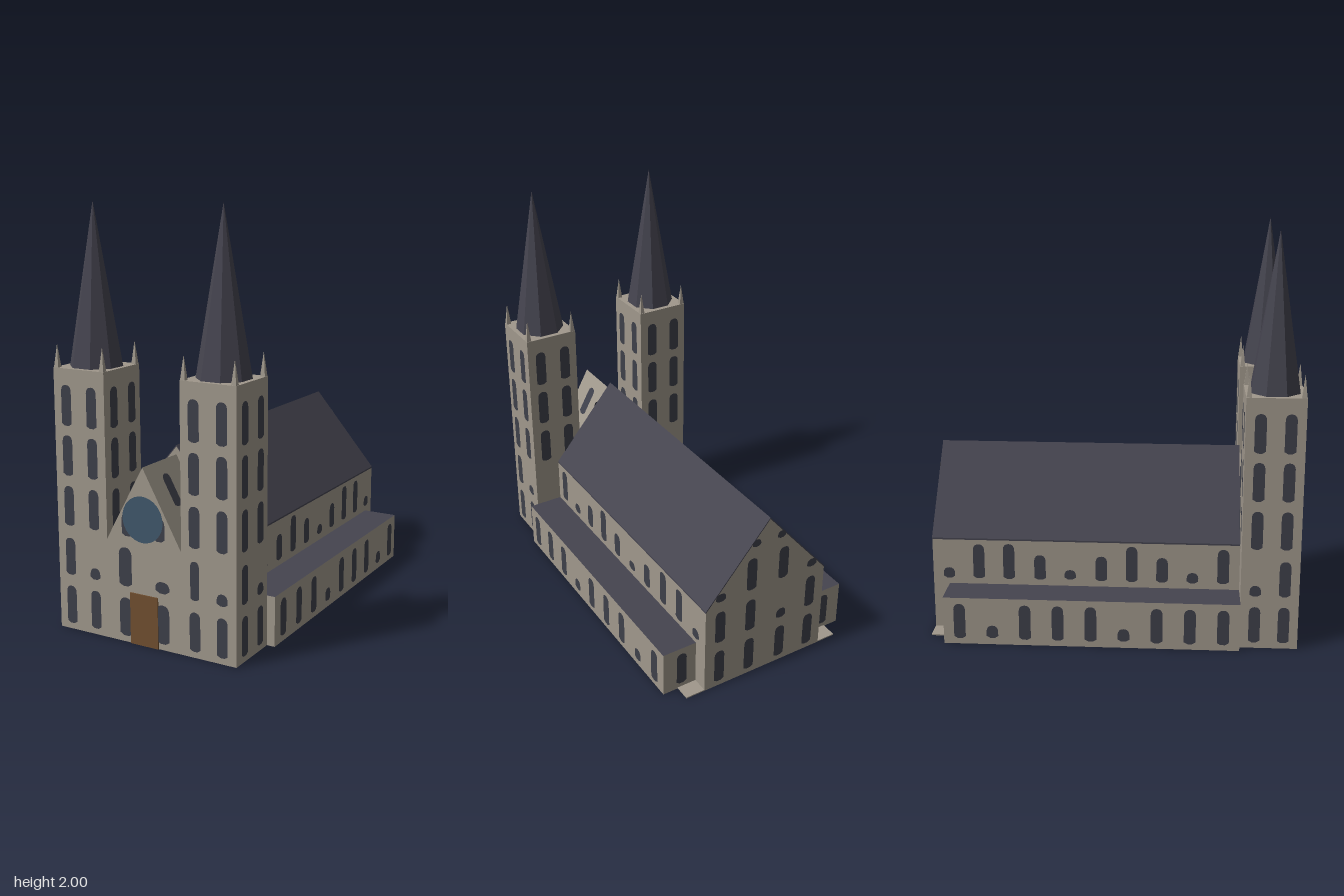
import * as THREE from 'three';
import { mergeGeometries } from 'three/addons/utils/BufferGeometryUtils.js';

const mat = (name, color, side = THREE.FrontSide) => {
  const m = new THREE.MeshStandardMaterial({ color, side, flatShading: true });
  m.name = name;
  return m;
};

export function createModel() {
  const stone = mat('stone', 0xa0988c, THREE.DoubleSide);
  const slate = mat('slate', 0x45444f);
  const glass = mat('darkGlass', 0x3e404a, THREE.DoubleSide);
  const blue = mat('roseGlass', 0x40586c, THREE.DoubleSide);
  const wood = mat('doorWood', 0x704f30);

  const model = new THREE.Group();
  model.name = 'cathedral';

  const add = (parent, name, geo, material, x = 0, y = 0, z = 0) => {
    const mesh = new THREE.Mesh(geo, material);
    mesh.name = name;
    mesh.position.set(x, y, z);
    parent.add(mesh);
    return mesh;
  };

  // Box standing on its base
  const standing = (w, h, d) => new THREE.BoxGeometry(w, h, d).translate(0, h / 2, 0);

  // Polygon in x and y drawn out along z from z0 to z1
  const prism = (points, z0, z1) => {
    const shape = new THREE.Shape(points.map(([x, y]) => new THREE.Vector2(x, y)));
    return new THREE.ExtrudeGeometry(shape, { depth: z1 - z0, bevelEnabled: false }).translate(0, 0, z0);
  };

  // Window pane with a rounded head and softened foot, [centre, bottom, top, width]
  const pane = ([u, y0, y1, w = 0.055]) => {
    const r = w / 2, f = r * 0.6;
    const cap = Math.min(r, (y1 - y0) * 0.5);
    const s = new THREE.Shape();
    s.moveTo(u - r + f, y0);
    s.lineTo(u + r - f, y0);
    s.lineTo(u + r, y0 + f * 0.6);
    s.lineTo(u + r, y1 - cap);
    s.quadraticCurveTo(u + r * 0.9, y1, u, y1);
    s.quadraticCurveTo(u - r * 0.9, y1, u - r, y1 - cap);
    s.lineTo(u - r, y0 + f * 0.6);
    s.closePath();
    return new THREE.ShapeGeometry(s, 4);
  };

  // All windows of one wall, turned about y and pushed out from the centre
  const windows = (parent, name, angle, distance, list) => {
    const geo = mergeGeometries(list.map(pane));
    geo.translate(0, 0, distance + 0.003).rotateY(angle);
    return add(parent, name, geo, glass);
  };

  // Nave with its gabled ends
  add(model, 'nave', prism([[-0.34, 0], [0.34, 0], [0.34, 0.473], [0, 0.877], [-0.34, 0.473]], -0.9, 0.62), stone);
  add(model, 'naveRoof', prism([[-0.341, 0.472], [0, 0.877], [0.341, 0.472], [0.341, 0.48], [0, 0.884], [-0.341, 0.48]], -0.901, 0.619), slate);
  add(model, 'floorSlab', standing(0.88, 0.006, 1.52), stone, 0, 0, -0.14);

  // Window rows along the sides, given as [z, bottom, top]
  const clerestory = [
    [0.54, 0.27, 0.45], [0.39, 0.27, 0.325], [0.24, 0.27, 0.4], [0.09, 0.27, 0.455], [-0.06, 0.27, 0.4],
    [-0.215, 0.275, 0.325], [-0.365, 0.27, 0.4], [-0.52, 0.27, 0.455], [-0.67, 0.27, 0.45], [-0.82, 0.27, 0.325]];
  const aisleRow = [
    [0.54, 0.03, 0.21], [0.38, 0.03, 0.21], [0.22, 0.03, 0.21], [0.06, 0.035, 0.1], [-0.1, 0.03, 0.21],
    [-0.26, 0.03, 0.21], [-0.42, 0.03, 0.21], [-0.58, 0.035, 0.1], [-0.74, 0.03, 0.21]];

  for (const s of [1, -1]) {
    const side = s > 0 ? 'left' : 'right';
    const along = (list) => list.map(([z, a, b]) => [-s * z, a, b, 0.057]);

    // Side aisle with a flat slate top
    add(model, side + 'Aisle', standing(0.18, 0.24, 1.44), [stone, stone, slate, stone, stone, stone], s * 0.43, 0, -0.1);
    windows(model, side + 'AisleWindows', s * Math.PI / 2, 0.52, along(aisleRow));
    windows(model, side + 'AisleEndWindow', Math.PI, 0.82, [[-s * 0.42, 0.03, 0.21]]);
    windows(model, side + 'ClerestoryWindows', s * Math.PI / 2, 0.34, along(clerestory));
    windows(model, side + 'PorchSideWindows', s * Math.PI / 2, 0.48, [
      [-s * 0.83, 0.03, 0.215], [-s * 0.69, 0.03, 0.215], [-s * 0.83, 0.27, 0.45], [-s * 0.69, 0.27, 0.325]]);

    // Tower, rising from the front block
    const tower = new THREE.Group();
    tower.name = side + 'Tower';
    tower.position.set(s * 0.34, 0, 0.76);
    model.add(tower);
    add(tower, 'towerShaft', standing(0.28, 0.77, 0.28), stone, 0, 0.48, 0);
    const rows = [];
    for (const y of [0.51, 0.75, 0.985]) for (const u of [-0.07, 0.07]) rows.push([u, y, y + 0.19]);
    for (let i = 0; i < 4; i++) windows(tower, 'towerWindows', i * Math.PI / 2, 0.14, rows);

    // Eight-sided spire and four corner pinnacles
    add(tower, 'spire', new THREE.ConeGeometry(0.125, 0.75, 8, 1, false, Math.PI / 8), slate, 0, 1.625, 0);
    for (const px of [-1, 1]) for (const pz of [-1, 1]) {
      add(tower, 'pinnacle', new THREE.ConeGeometry(0.017, 0.11, 4, 1, false, Math.PI / 4), stone, px * 0.126, 1.305, pz * 0.126);
    }

    // Panes lying on the slope of the porch gable
    const slope = new THREE.Group();
    slope.name = side + 'PorchSlope';
    slope.position.set(s * 0.2, 0.48, 0.76);
    slope.rotation.order = 'YXZ';
    slope.rotation.y = s * Math.PI / 2;
    slope.rotation.x = -Math.atan2(0.2, 0.36);
    model.add(slope);
    windows(slope, 'slopeWindows', 0, 0, [
      [-s * 0.01, 0.01, 0.11], [-s * 0.01, 0.19, 0.35], [s * 0.125, 0.01, 0.11, 0.028], [s * 0.125, 0.19, 0.35, 0.028]]);
  }

  // Front block, hollow and open below (the bottom face is left out)
  const block = standing(0.96, 0.48, 0.28);
  const index = Array.from(block.index.array);
  index.splice(18, 6);
  block.setIndex(index);
  block.clearGroups();
  add(model, 'frontBlock', block, stone, 0, 0, 0.76);
  add(model, 'porchGable', prism([[-0.2, 0.48], [0.2, 0.48], [0, 0.84]], 0.62, 0.9), stone);

  // Facade windows, rose window and door
  const facade = [
    [-0.41, 0.27, 0.45], [-0.27, 0.27, 0.325], [-0.1, 0.27, 0.455, 0.07],
    [0.1, 0.27, 0.325, 0.075], [0.27, 0.27, 0.45, 0.045], [0.41, 0.27, 0.325],
    [-0.085, 0.51, 0.62, 0.06], [0.085, 0.51, 0.62, 0.06]];
  for (const x of [0.1, 0.27, 0.41]) for (const s of [1, -1]) {
    facade.push([s * x, 0.03, 0.215, x < 0.2 ? 0.07 : 0.055]);
  }
  windows(model, 'facadeWindows', 0, 0.9, facade);
  windows(model, 'naveFrontWindows', 0, 0.62, [
    [-0.1, 0.51, 0.7, 0.07], [0.1, 0.51, 0.7, 0.07], [0.075, 0.75, 0.785, 0.05]]);
  add(model, 'roseWindow', new THREE.CircleGeometry(0.108, 32), blue, 0, 0.6, 0.906);
  add(model, 'door', standing(0.15, 0.245, 0.012), wood, 0, 0, 0.9);

  // Back gable windows
  const back = [[-0.09, 0.51, 0.69], [0.09, 0.51, 0.69], [-0.26, 0.51, 0.555], [0.26, 0.51, 0.555],
    [-0.07, 0.75, 0.79, 0.045], [0.07, 0.75, 0.79, 0.045]];
  for (const u of [-0.26, -0.09, 0.09, 0.26]) {
    back.push([u, 0.03, 0.215], [u, 0.27, u === 0.09 ? 0.325 : 0.45]);
  }
  windows(model, 'backWindows', Math.PI, 0.9, back);

  return model;
}
